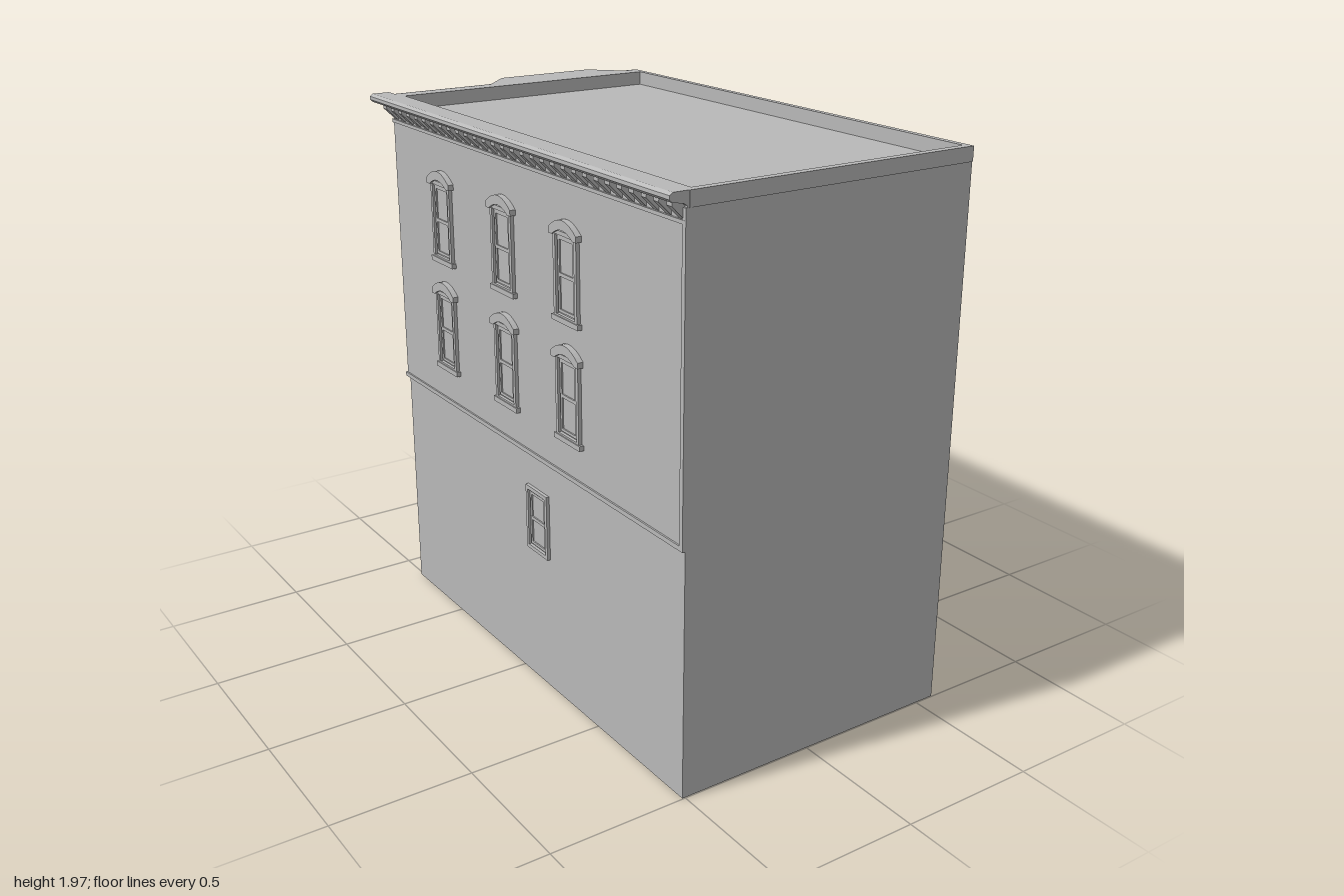
import * as THREE from 'three';

const stone = new THREE.MeshStandardMaterial({ color: 0xb8b8b8, side: THREE.DoubleSide });
stone.name = 'grey stone';

function add(parent, name, geo, x = 0, y = 0, z = 0) {
  const m = new THREE.Mesh(geo, stone);
  m.name = name;
  m.position.set(x, y, z);
  parent.add(m);
  return m;
}

// box given by its min and max corners
function block(parent, name, x0, x1, y0, y1, z0, z1) {
  return add(parent, name, new THREE.BoxGeometry(x1 - x0, y1 - y0, z1 - z0),
    (x0 + x1) / 2, (y0 + y1) / 2, (z0 + z1) / 2);
}

const poly = pts => new THREE.Shape(pts.map(p => new THREE.Vector2(p[0], p[1])));
const rect = (x0, x1, y0, y1) => [[x0, y0], [x1, y0], [x1, y1], [x0, y1]];
const extrude = (shape, depth) => new THREE.ExtrudeGeometry(shape, { depth, bevelEnabled: false, curveSegments: 10 });

// group lying on a wall: local x along it, y up, z outward
function onWall(parent, name, x, z, angle) {
  const g = new THREE.Group();
  g.name = name;
  g.position.set(x, 0, z);
  g.rotation.y = angle;
  parent.add(g);
  return g;
}

// rectangular frame with a hole
function frame(parent, name, cx, y0, w, h, t, depth) {
  const s = poly(rect(cx - w / 2, cx + w / 2, y0, y0 + h));
  s.holes.push(poly(rect(cx - w / 2 + t, cx + w / 2 - t, y0 + t, y0 + h - t)));
  return add(parent, name, extrude(s, depth));
}

// plain sash window, with an optional upright bar
function sash(parent, cx, y0, w, h, upright) {
  frame(parent, 'windowFrame', cx, y0, w, h, 0.014, 0.014);
  frame(parent, 'sashFrame', cx, y0 + 0.02, w - 0.04, h - 0.04, 0.01, 0.008);
  block(parent, 'meetingRail', cx - w / 2 + 0.02, cx + w / 2 - 0.02, y0 + h / 2 - 0.006, y0 + h / 2 + 0.006, 0, 0.008);
  if (upright) block(parent, 'mullion', cx - 0.007, cx + 0.007, y0 + 0.02, y0 + h - 0.02, 0, 0.009);
  block(parent, 'glass', cx - w / 2 + 0.01, cx + w / 2 - 0.01, y0 + 0.01, y0 + h - 0.01, 0, 0.003);
}

// window under a shallow arched hood
function archedWindow(parent, cx, y0) {
  const w = 0.14, h = 0.3, hood = new THREE.Shape();
  block(parent, 'sill', cx - 0.08, cx + 0.08, y0, y0 + 0.018, 0, 0.018);
  sash(parent, cx, y0 + 0.01, w, h - 0.01, false);
  hood.moveTo(cx - 0.083, y0 + 0.285);
  hood.lineTo(cx - 0.083, y0 + 0.305);
  hood.quadraticCurveTo(cx, y0 + 0.375, cx + 0.083, y0 + 0.305);
  hood.lineTo(cx + 0.083, y0 + 0.285);
  hood.lineTo(cx + 0.062, y0 + 0.285);
  hood.quadraticCurveTo(cx, y0 + 0.33, cx - 0.062, y0 + 0.285);
  add(parent, 'archedHood', extrude(hood, 0.022));
  const infill = new THREE.Shape();
  infill.moveTo(cx - 0.062, y0 + 0.28);
  infill.quadraticCurveTo(cx, y0 + 0.335, cx + 0.062, y0 + 0.28);
  add(parent, 'archInfill', extrude(infill, 0.008));
}

// wedge bracket: deep at the top, running back to the wall below
function bracket(parent, cx, yTop, w, h, d) {
  const m = add(parent, 'bracket', extrude(poly([[0, yTop], [-d, yTop], [-d, yTop - h * 0.2], [0, yTop - h]]), w), cx - w / 2);
  m.rotation.y = Math.PI / 2;
}

// three-sided bay stacked from [offset, y] levels
function bayLoft(parent, name, levels) {
  const ring = ([o, y]) => [
    [-0.11 - 1.414 * o, y, -0.86], [0.015 - 0.414 * o, y, -0.985 - o],
    [0.405 + 0.414 * o, y, -0.985 - o], [Math.min(0.53 + 1.414 * o, 0.575), y, -0.86]];
  const pos = [], rings = levels.map(ring);
  const quad = (a, b, c, d) => pos.push(...a, ...b, ...c, ...a, ...c, ...d);
  for (let i = 0; i + 1 < rings.length; i++)
    for (let j = 0; j < 3; j++) quad(rings[i][j], rings[i + 1][j], rings[i + 1][j + 1], rings[i][j + 1]);
  const top = rings[rings.length - 1];
  quad(...rings[0]);
  quad(top[3], top[2], top[1], top[0]);
  const geo = new THREE.BufferGeometry();
  geo.setAttribute('position', new THREE.Float32BufferAttribute(pos, 3));
  geo.computeVertexNormals();
  add(parent, name, geo);
}

function buildShell(g) {
  // plain walls, open underneath
  const plane = (name, w, h, x, y, z, ry) => { add(g, name, new THREE.PlaneGeometry(w, h), x, y, z).rotation.y = ry; };
  plane('plainWall', 1.085, 1.95, 0.0325, 0.975, 0.997, 0);
  plane('partyWall', 1.857, 1.97, 0.575, 0.985, 0.0685, Math.PI / 2);
  plane('sideWall', 1.857, 1.95, -0.51, 0.975, 0.0685, -Math.PI / 2);
  const street = poly([[-0.51, 0], [-0.43, 0], [-0.43, 0.84], [-0.19, 0.84], [-0.19, 0], [0.575, 0], [0.575, 1.95], [-0.51, 1.95]]
    .map(([x, y]) => [-x, y]));
  add(g, 'streetWall', new THREE.ShapeGeometry(street), 0, 0, -0.86).rotation.y = Math.PI;
  // roof and parapet
  add(g, 'roof', new THREE.PlaneGeometry(1.08, 1.84), 0.0325, 1.92, 0.075).rotation.x = -Math.PI / 2;
  const rim = poly(rect(-0.51, 0.575, -1, 0.84));
  rim.holes.push(poly(rect(-0.487, 0.553, -0.973, 0.822)));
  add(g, 'parapet', extrude(rim, 0.05), 0, 1.92, 0).rotation.x = -Math.PI / 2;
  // upper storeys stand slightly proud
  block(g, 'upperSideFacing', -0.516, -0.51, 0.88, 1.93, -0.865, 0.998);
  block(g, 'upperStreetFacing', -0.516, 0.573, 0.88, 1.93, -0.866, -0.86);
  block(g, 'sideBand', -0.522, -0.51, 0.872, 0.888, -0.872, 0.999);
  block(g, 'streetBand', -0.522, 0.573, 0.872, 0.888, -0.872, -0.86);
  block(g, 'cornerTrim', -0.522, -0.51, 0.88, 1.92, 0.982, 0.999);
}

function buildCornices(g) {
  const side = poly([[-0.5, 1.97], [-0.565, 1.97], [-0.577, 1.962], [-0.577, 1.95], [-0.566, 1.94], [-0.53, 1.935], [-0.5, 1.915]]);
  add(g, 'sideCornice', extrude(side, 1.93), 0, 0, -0.932);
  const roll = new THREE.Shape();
  roll.moveTo(0.83, 1.92);
  roll.lineTo(0.83, 1.97);
  roll.lineTo(0.87, 1.97);
  roll.quadraticCurveTo(0.93, 1.968, 0.932, 1.945);
  roll.quadraticCurveTo(0.928, 1.932, 0.9, 1.932);
  roll.lineTo(0.86, 1.92);
  add(g, 'streetCornice', extrude(roll, 1.085), -0.51, 0, 0).rotation.y = Math.PI / 2;
  // brackets below both cornices
  const sideRun = onWall(g, 'sideBrackets', -0.515, 0, -Math.PI / 2);
  for (let i = 0; i < 30; i++) bracket(sideRun, -0.84 + i * 0.0625, 1.938, 0.026, 0.055, 0.045);
  block(sideRun, 'frieze', -0.865, 0.998, 1.872, 1.884, 0, 0.008);
  const streetRun = onWall(g, 'streetBrackets', 0, -0.865, Math.PI);
  for (let i = 0; i < 7; i++) bracket(streetRun, 0.145 + i * 0.057, 1.935, 0.028, 0.06, 0.05);
  block(streetRun, 'frieze', 0.1, 0.515, 1.865, 1.878, 0, 0.008);
}

function buildBay(g) {
  bayLoft(g, 'bayWalls', [[0, 0.945], [0, 1.94]]);
  bayLoft(g, 'bayBase', [[-0.004, 0.94], [0.004, 0.945], [0.006, 0.965], [0.002, 0.978]]);
  bayLoft(g, 'bayMiddleBand', [[0.002, 1.345], [0.007, 1.35], [0.007, 1.362], [0.002, 1.368]]);
  bayLoft(g, 'bayFrieze', [[0.002, 1.865], [0.006, 1.868], [0.006, 1.88], [0.002, 1.884]]);
  bayLoft(g, 'bayCornice', [[0.004, 1.93], [0.012, 1.94], [0.015, 1.95], [0.013, 1.963], [0.006, 1.97]]);
  // faces of the bay with windows and dentils
  const faces = [
    { x: 0.21, z: -0.985, a: Math.PI, w: 0.28, run: 0.36, n: 8, cross: true },
    { x: -0.0475, z: -0.9225, a: -Math.PI * 0.75, w: 0.11, run: 0.14, n: 4 },
    { x: 0.4675, z: -0.9225, a: Math.PI * 0.75, w: 0.11, run: 0.14, n: 4 }];
  for (const f of faces) {
    const wall = onWall(g, 'bayFace', f.x, f.z, f.a);
    for (const y of [1.005, 1.415]) sash(wall, 0, y, f.w, 0.29, f.cross);
    for (let i = 0; i < f.n; i++) {
      const x = -f.run / 2 + i * f.run / (f.n - 1);
      block(wall, 'dentil', x - 0.011, x + 0.011, 1.895, 1.935, 0, 0.011);
    }
  }
  // corbels carrying the bay
  const under = onWall(g, 'bayCorbels', 0, -0.86, Math.PI);
  for (let i = 0; i < 5; i++) bracket(under, -0.38 + i * 0.085, 0.945, 0.05, 0.06, 0.12);
}

function buildStreetFloor(g) {
  const wall = onWall(g, 'streetFloor', 0, -0.86, Math.PI);
  // slatted shop window
  frame(wall, 'shutterFrame', -0.235, 0.375, 0.45, 0.39, 0.018, 0.009);
  for (let i = 0; i < 4; i++) {
    const y = 0.393 + i * 0.0885;
    block(wall, 'shutterSlat', -0.442, -0.028, y + 0.004, y + 0.0845, 0, 0.004);
  }
  // recessed entrance
  const d = 0.18;
  for (const x of [0.19, 0.43])
    add(wall, 'recessWall', new THREE.PlaneGeometry(d, 0.84), x, 0.42, -d / 2).rotation.y = Math.PI / 2;
  add(wall, 'recessCeiling', new THREE.PlaneGeometry(0.24, d), 0.31, 0.84, -d / 2).rotation.x = Math.PI / 2;
  add(wall, 'recessBack', new THREE.PlaneGeometry(0.24, 0.54), 0.31, 0.57, -d);
  const door = onWall(wall, 'door', 0, -d, 0);
  frame(door, 'doorFrame', 0.31, 0.32, 0.2, 0.5, 0.02, 0.012);
  frame(door, 'doorPanel', 0.31, 0.36, 0.13, 0.42, 0.015, 0.006);
  // stairs with a sloping underside
  const pts = [[0, 0]], n = 7;
  for (let i = 0; i < n; i++) pts.push([i * 0.021, (i + 1) * 0.045], [(i + 1) * 0.021, (i + 1) * 0.045]);
  pts.push([d, n * 0.045], [d, n * 0.045 - 0.015]);
  add(wall, 'stairs', extrude(poly(pts), 0.24), 0.19, 0, 0).rotation.y = Math.PI / 2;
  for (const x of [0.182, 0.422]) block(wall, 'doorCasing', x, x + 0.016, 0.41, 0.85, -0.01, 0.007);
}

export function createModel() {
  const g = new THREE.Group();
  g.name = 'cornerTownhouse';
  buildShell(g);
  buildCornices(g);
  buildBay(g);
  buildStreetFloor(g);
  const street = onWall(g, 'streetWindows', 0, -0.865, Math.PI);
  const side = onWall(g, 'sideWindows', -0.515, 0, -Math.PI / 2);
  for (const y of [1.005, 1.415]) {
    for (const x of [0.215, 0.38]) archedWindow(street, x, y);
    for (const z of [-0.49, -0.05, 0.36]) archedWindow(side, z, y);
  }
  sash(onWall(g, 'smallSideWindow', -0.508, 0, -Math.PI / 2), 0.13, 0.51, 0.14, 0.24, false);
  return g;
}
